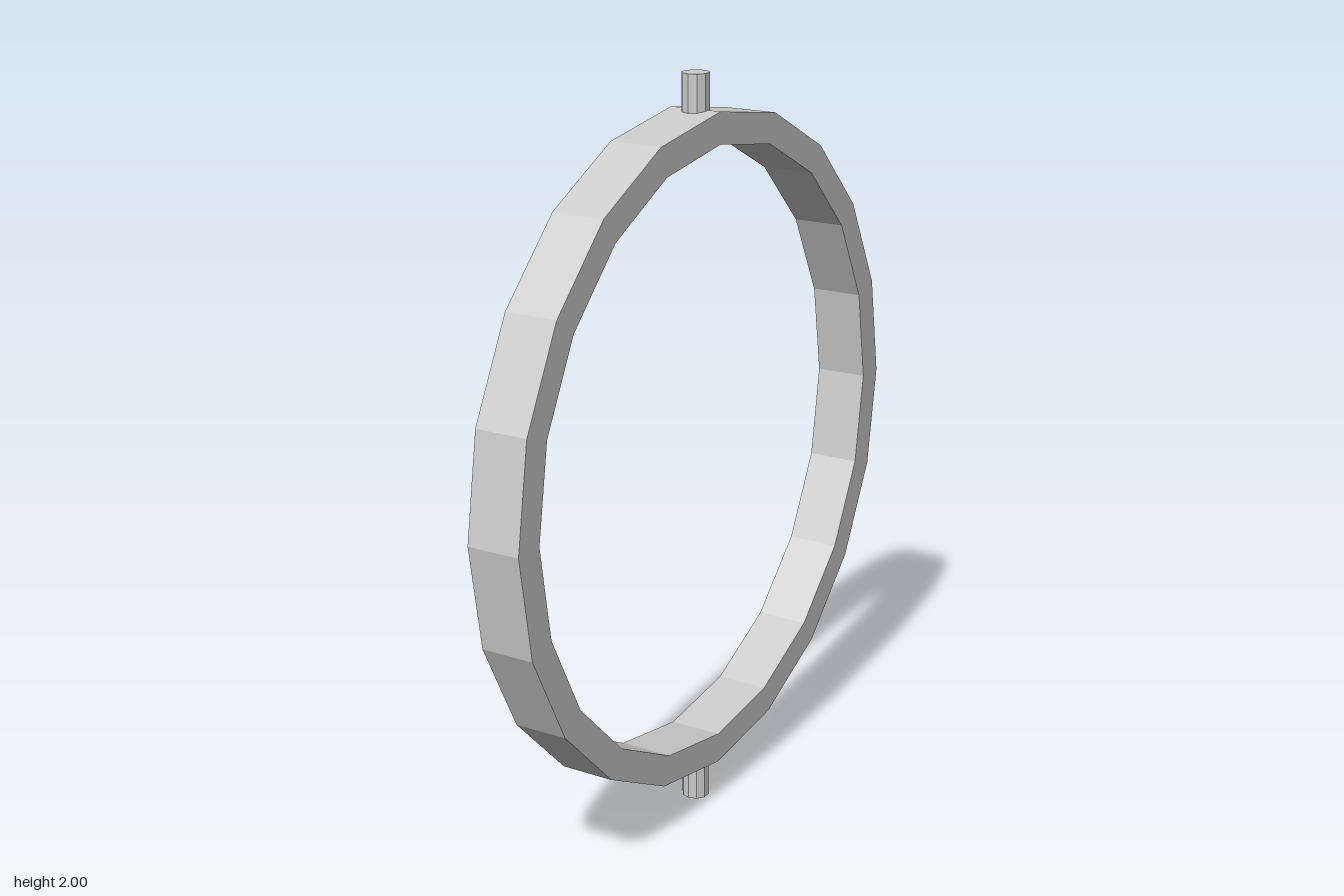
import * as THREE from 'three';

const CENTER_Y = 1.011;
const OUTER = 0.896, INNER = 0.813, HALF_WIDTH = 0.073;
const PIN_RADIUS = 0.037;

export function createModel() {
  const group = new THREE.Group();
  const material = new THREE.MeshStandardMaterial({ color: 0xcccccc, flatShading: true });

  // Twenty-sided upright hoop with a rectangular section, its axis along x
  const section = [
    [INNER, -HALF_WIDTH], [OUTER, -HALF_WIDTH], [OUTER, HALF_WIDTH],
    [INNER, HALF_WIDTH], [INNER, -HALF_WIDTH],
  ].map(([r, y]) => new THREE.Vector2(r, y));
  const ring = new THREE.Mesh(new THREE.LatheGeometry(section, 20), material);
  ring.name = 'ring';
  ring.rotation.z = Math.PI / 2;
  ring.position.y = CENTER_Y;
  group.add(ring);

  // Pivot pins, each set into the thickness of the hoop
  const addPin = (name, bottom, top) => {
    const pin = new THREE.Mesh(
      new THREE.CylinderGeometry(PIN_RADIUS, PIN_RADIUS, top - bottom, 10), material);
    pin.name = name;
    pin.position.y = (bottom + top) / 2;
    group.add(pin);
  };
  addPin('topPin', CENTER_Y + 0.85, 2);
  addPin('bottomPin', 0, CENTER_Y - 0.85);

  return group;
}
